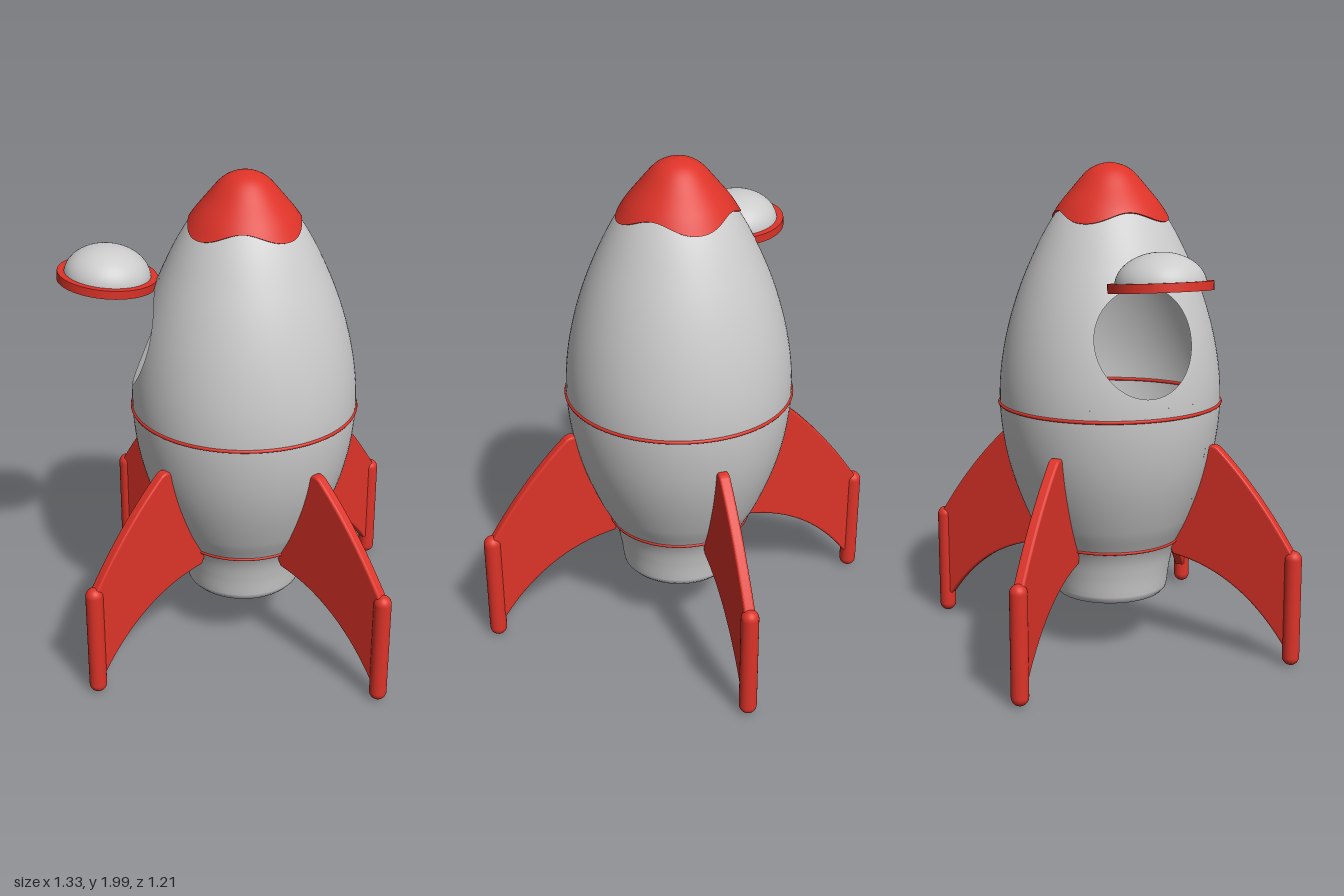
import * as THREE from 'three';
import { ParametricGeometry } from 'three/addons/geometries/ParametricGeometry.js';
import { mergeGeometries } from 'three/addons/utils/BufferGeometryUtils.js';

const AXIS = 0.07; // the hull stands slightly off centre because the hatch sticks out
const grey = new THREE.MeshStandardMaterial({ color: 0xcccccc, side: THREE.DoubleSide });
const red = new THREE.MeshStandardMaterial({ color: 0xdd3328, side: THREE.DoubleSide });

function part(name, geometry, material, parent) {
  const mesh = new THREE.Mesh(geometry, material);
  mesh.name = name;
  parent.add(mesh);
  return mesh;
}

// Hull radius by height
const hullY = [0.255, 0.34, 0.42, 0.55, 0.73, 0.88, 1.04, 1.2, 1.4, 1.6, 1.8, 1.88];
const hullR = [0.238, 0.25, 0.27, 0.335, 0.403, 0.438, 0.453, 0.443, 0.4, 0.326, 0.218, 0.15];
const hullCurve = new THREE.CubicInterpolant(hullY, hullR, 1, [0]);
const radiusAt = (y) => hullCurve.evaluate(y)[0];

// Angle 0 faces -x, where the hatch is
function onHull(angle, y, target) {
  const r = radiusAt(y);
  target.set(-r * Math.cos(angle), y, r * Math.sin(angle));
}

// Hull in panels round a window, the window filled by a patch with a round hole
function hullGeometry() {
  const T = 0.7, cy = 1.33, H = 0.25, hole = 0.21;
  const lerp = THREE.MathUtils.lerp;
  const panel = (a0, a1, y0, y1, nu, nv) => new ParametricGeometry(
    (u, v, p) => onHull(lerp(a0, a1, u), lerp(y0, y1, v), p), nu, nv);
  const patch = new ParametricGeometry((u, v, p) => {
    const f = v * Math.PI * 2, c = Math.cos(f), s = Math.sin(f);
    const m = Math.max(Math.abs(c), Math.abs(s));
    const holeY = cy + hole * s;
    const holeAngle = Math.asin(0.2 * c / radiusAt(holeY));
    onHull(lerp(holeAngle, T * c / m, u), lerp(holeY, cy + H * s / m, u), p);
  }, 10, 96);
  return mergeGeometries([
    panel(T, Math.PI * 2 - T, 0.255, 1.88, 72, 60),
    panel(-T, T, 0.255, cy - H, 24, 30),
    panel(-T, T, cy + H, 1.88, 24, 14),
    patch,
  ]);
}

// Nose cap with a four-lobed lower edge
const capProfile = new THREE.SplineCurve([
  [0, 2], [0.05, 1.989], [0.095, 1.962], [0.15, 1.9], [0.207, 1.83], [0.25, 1.76],
].map(([r, y]) => new THREE.Vector2(r, y)));
function capPoint(angle, t, inset, target) {
  const q = capProfile.getPoint(Math.max(t, 0.001) * (0.9 - 0.055 * Math.cos(4 * angle)));
  const r = q.x - inset;
  target.set(-r * Math.cos(angle), q.y - inset * 0.4, r * Math.sin(angle));
}
function noseGeometry() {
  const top = new ParametricGeometry((u, v, p) => capPoint(u * Math.PI * 2, 1 - v, 0, p), 96, 32);
  const lip = new ParametricGeometry((u, v, p) => capPoint(u * Math.PI * 2, 1, 0.025 * (1 - v), p), 96, 2);
  return mergeGeometries([top, lip]);
}

// Swept fin: x runs from the foot post inward to the hull
function finGeometry() {
  const s = new THREE.Shape();
  s.moveTo(0, 0.06);
  s.quadraticCurveTo(0.2, 0.37, 0.515, 0.41);
  s.lineTo(0.53, 0.44);
  s.quadraticCurveTo(0.43, 0.64, 0.38, 0.85);
  s.quadraticCurveTo(0.36, 0.885, 0.33, 0.865);
  s.quadraticCurveTo(0.15, 0.7, 0, 0.46);
  s.closePath();
  const g = new THREE.ExtrudeGeometry(s, {
    depth: 0.026, curveSegments: 16, bevelSize: 0.009, bevelThickness: 0.009, bevelSegments: 3,
  });
  return g.translate(0, 0, -0.013);
}

export function createModel() {
  const model = new THREE.Group();
  model.name = 'rocket';
  const rocket = new THREE.Group();
  rocket.name = 'rocketBody';
  rocket.position.x = AXIS;
  model.add(rocket);

  part('hull', hullGeometry(), grey, rocket);
  part('noseCap', noseGeometry(), red, rocket);

  // Rounded base plate
  const base = [[0, 0.222], [0.2, 0.222], [0.222, 0.228], [0.235, 0.242], [0.238, 0.256]];
  part('base', new THREE.LatheGeometry(base.map(([r, y]) => new THREE.Vector2(r, y)), 72), grey, rocket);

  // Thin bands round the hull
  for (const [name, y] of [['middleBand', 1.035], ['lowerBand', 0.46]]) {
    const band = part(name, new THREE.TorusGeometry(radiusAt(y), 0.007, 8, 96), red, rocket);
    band.rotation.x = Math.PI / 2;
    band.position.y = y;
  }

  // Four fins, each with a foot post
  const finShape = finGeometry();
  const postShape = new THREE.CapsuleGeometry(0.035, 0.41, 8, 24).translate(0, 0.245, 0);
  for (const sx of [-1, 1]) for (const sz of [-1, 1]) {
    const leg = new THREE.Group();
    leg.name = (sz > 0 ? 'front' : 'back') + (sx > 0 ? 'Left' : 'Right') + 'Leg';
    leg.position.set(0.56 * sx, 0, 0.57 * sz);
    leg.rotation.y = Math.atan2(0.67 * sz, -0.743 * sx);
    part('fin', finShape, red, leg);
    part('footPost', postShape, red, leg);
    rocket.add(leg);
  }

  // Open hatch: a ring with a hollow window dome
  const hatch = new THREE.Group();
  hatch.name = 'hatch';
  hatch.position.set(-0.47, 1.562, 0);
  hatch.rotation.z = -0.105;
  const h = 0.017;
  const ringProfile = [[0.168, -h], [0.198, -h], [0.198, h], [0.168, h], [0.168, -h]];
  const ring = new THREE.LatheGeometry(ringProfile.map(([r, y]) => new THREE.Vector2(r, y)), 64).toNonIndexed();
  // Flat rims, smooth walls
  const n = ring.attributes.normal, pos = ring.attributes.position;
  for (let i = 0; i < n.count; i += 3) {
    const ys = [0, 1, 2].map((k) => pos.getY(i + k));
    const flat = ys[0] === ys[1] && ys[1] === ys[2];
    const rs = [0, 1, 2].map((k) => Math.hypot(pos.getX(i + k), pos.getZ(i + k)));
    for (let k = 0; k < 3; k++) {
      if (flat) n.setXYZ(i + k, 0, Math.sign(ys[0]), 0);
      else {
        const d = (rs[0] > 0.18 ? 1 : -1) / rs[k];
        n.setXYZ(i + k, pos.getX(i + k) * d, 0, pos.getZ(i + k) * d);
      }
    }
  }
  part('hatchRing', ring, red, hatch);
  const dome = new THREE.SphereGeometry(0.172, 48, 16, 0, Math.PI * 2, 0, Math.PI / 2);
  part('hatchDome', dome.scale(1, 0.72, 1).translate(0, 0.005, 0), grey, hatch);
  model.add(hatch);

  return model;
}
